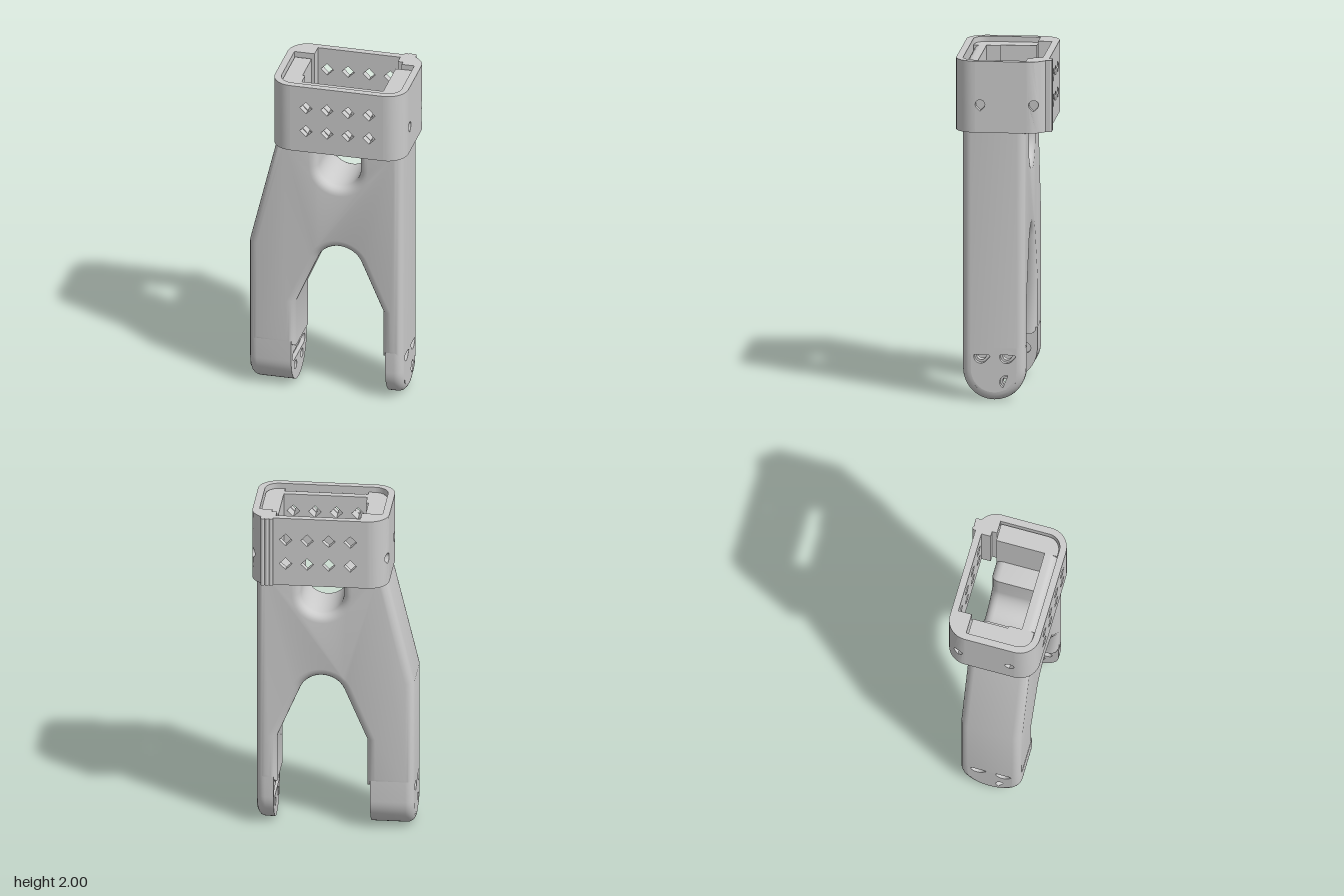
import * as THREE from 'three';
import { toCreasedNormals } from 'three/addons/utils/BufferGeometryUtils.js';

const solid = new THREE.MeshStandardMaterial({ color: 0xcccccc });
const thin = new THREE.MeshStandardMaterial({ color: 0xcccccc, side: THREE.DoubleSide });
const V = (x, y) => new THREE.Vector2(x, y);

function add(parent, name, geo, mat = solid) {
  const mesh = new THREE.Mesh(toCreasedNormals(geo, 0.6), mat);
  mesh.name = name;
  parent.add(mesh);
  return mesh;
}

// Outline helpers
function arc(cx, cy, r, a0, a1, n = 10) {
  return Array.from({ length: n + 1 }, (_, i) => {
    const a = THREE.MathUtils.degToRad(a0 + (a1 - a0) * i / n);
    return V(cx + r * Math.cos(a), cy + r * Math.sin(a));
  });
}
const circle = (x, y, r) => arc(x, y, r, 0, 345, 23);
// Round hole with one point, turned to the given angle
function teardrop(x, y, r, dir) {
  const a = THREE.MathUtils.degToRad(dir);
  return [...arc(x, y, r, dir + 45, dir + 315, 18), V(x + 1.35 * r * Math.cos(a), y + 1.35 * r * Math.sin(a))];
}
const diamond = (x, y, r) => [V(x + r, y), V(x, y + r), V(x - r, y), V(x, y - r)];
const rect = (x0, y0, x1, y1) => [V(x0, y0), V(x1, y0), V(x1, y1), V(x0, y1)];

function shapeOf(points, holes = []) {
  const s = new THREE.Shape(points);
  s.holes = holes.map(h => new THREE.Path(h));
  return s;
}
const plate = (points, holes, depth) =>
  new THREE.ExtrudeGeometry(shapeOf(points, holes), { depth, bevelEnabled: false });
// Plan outline (x, z) pulled down from yTop
const prism = (points, yTop, h) => plate(points, [], h).rotateX(Math.PI / 2).translate(0, yTop, 0);

// Wall through equal-length point rows, each at its own depth
function loft(rows, closed) {
  const n = rows[0].pts.length, pos = [], idx = [];
  rows.forEach(r => r.pts.forEach(p => pos.push(p.x, p.y, r.z)));
  for (let i = 0; i < rows.length - 1; i++)
    for (let j = 0; j < (closed ? n : n - 1); j++) {
      const k = (j + 1) % n, a = i * n + j, b = i * n + k, c = a + n, d = b + n;
      idx.push(a, c, b, c, d, b);
    }
  const g = new THREE.BufferGeometry();
  g.setAttribute('position', new THREE.Float32BufferAttribute(pos, 3));
  g.setIndex(idx);
  return g;
}

// Fork body: arms, web, arch and U-shaped gap, rounded front and back
function forkBody(parent) {
  const outline = [
    V(-0.47, 0.27), V(-0.195, 0.27), V(-0.195, 0.56),
    ...arc(0.065, 0.81, 0.14, 156, 24, 16),
    V(0.325, 0.56), V(0.325, 0.27), V(0.445, 0.27), V(0.445, 1.64), V(0.19, 1.64),
    ...arc(0.065, 1.465, 0.125, 0, -180, 20),
    V(-0.06, 1.64), V(-0.298, 1.64), V(-0.47, 0.93)];
  const geo = new THREE.ExtrudeGeometry(shapeOf(outline), {
    depth: 0.265, bevelThickness: 0.05, bevelSize: 0.05, bevelOffset: -0.05, bevelSegments: 5 });
  add(parent, 'forkBody', geo.translate(0, 0, -0.08));
}

// Leg end: round-bottomed, inner face at local z = 0, outer face at z = w
function legEnd(parent, name, xInner, w, side) {
  const leg = new THREE.Group();
  leg.name = name;
  const h = 0.1825, r = 0.05, sink = 0.04;
  const outline = inset => [V(h - inset, 0.31), ...arc(0, h, h - inset, 0, -180, 28), V(inset - h, 0.31)];
  const rows = [{ z: 0, pts: outline(0) }];
  for (let i = 0; i <= 5; i++) {
    const t = i / 5 * Math.PI / 2;
    rows.push({ z: w - r + r * Math.sin(t), pts: outline(r * (1 - Math.cos(t))) });
  }
  add(leg, 'legWall', loft(rows, false), thin);

  const centres = [-1, 1].flatMap(i => [-1, 1].map(j => V(i * 0.075, 0.185 + j * 0.075)));
  const small = centres.map(c => circle(c.x, c.y, 0.027));
  const large = centres.map(c => teardrop(c.x, c.y, 0.04, 0));
  const slot = [...arc(0.115, 0.185, 0.03, -90, 90, 8), ...arc(-0.115, 0.185, 0.03, 90, 270, 8)];
  add(leg, 'outerFace', new THREE.ShapeGeometry(shapeOf(outline(r), large)).translate(0, 0, w), thin);
  add(leg, 'innerFace', new THREE.ShapeGeometry(shapeOf(outline(0), [...small, slot])), thin);
  // Screw holes with their sunk seats
  centres.forEach((c, i) => {
    add(leg, 'screwHole', loft([{ z: 0, pts: small[i] }, { z: w - sink, pts: small[i] }], true), thin);
    add(leg, 'screwSeatWall', loft([{ z: w - sink, pts: large[i] }, { z: w, pts: large[i] }], true), thin);
    add(leg, 'screwSeat', new THREE.ShapeGeometry(shapeOf(large[i], [small[i]])).translate(0, 0, w - sink), thin);
  });
  // Pivot slot sunk in the inner face
  add(leg, 'slotWall', loft([{ z: 0, pts: slot }, { z: 0.025, pts: slot }], true), thin);
  add(leg, 'slotFloor', new THREE.ShapeGeometry(shapeOf(slot)).translate(0, 0, 0.025), thin);

  leg.rotation.y = side * Math.PI / 2;
  leg.position.set(xInner, 0, 0.0525);
  parent.add(leg);
}

// Collar around the top
function collar(parent) {
  const ring = new THREE.Group();
  ring.name = 'collar';
  const y0 = 1.58, y1 = 2, H = y1 - y0, d = 0.04, R = 0.12;
  const xa = -0.21, xb = 0.345;
  const windows = [1.715, 1.865].flatMap(y => [-0.115, 0.01, 0.135, 0.26].map(x => diamond(x, y, 0.037)));
  add(ring, 'frontPanel', plate(rect(xa, y0, xb, y1), windows, d).translate(0, 0, 0.24));
  add(ring, 'backPanel', plate(rect(xa, y0, xb, y1), windows, d).translate(0, 0, -0.26));

  for (const s of [1, -1]) {
    const cx = s > 0 ? xb : xa, outer = cx + s * R;
    const toSide = g => g.rotateY(-Math.PI / 2).translate(s > 0 ? outer : outer + d, 0, 0);
    // Flat side with a screw hole
    add(ring, 'sidePanel', toSide(plate(rect(-0.14, y0, 0.16, y1), [teardrop(0.13, 1.745, 0.028, -90)], d)));
    // Rear part of the side, bent along the corner
    const edge = [0, 1, 2, 3, 4].map(i => -0.22 + i * 0.02);
    const bent = toSide(plate([...edge.map(z => V(z, y0)), ...edge.slice().reverse().map(z => V(z, y1))],
      [teardrop(-0.18, 1.745, 0.028, -90)], d));
    const p = bent.attributes.position;
    for (let i = 0; i < p.count; i++) {
      const dz = Math.min(0, p.getZ(i) + 0.14);
      p.setX(i, p.getX(i) - s * (R - Math.sqrt(R * R - dz * dz)));
    }
    add(ring, 'bentSidePanel', bent);
    // Front corner
    const a0 = s > 0 ? 0 : 180;
    add(ring, 'frontCorner', prism([...arc(cx, 0.16, R, a0, 90), ...arc(cx, 0.16, R - d, 90, a0)], y1, H));
    // Rear corner with its inner block
    const block = s > 0
      ? [V(0.32, -0.26), V(0.32, -0.165), V(0.35, -0.165), V(0.35, -0.135), V(0.427, -0.135)]
      : [V(-0.17, -0.26), V(-0.17, -0.14), V(-0.292, -0.14)];
    const curve = s > 0 ? arc(cx, -0.14, R, -41.8, -90) : arc(cx, -0.14, R, 221.8, 270);
    add(ring, 'rearCorner', prism([...curve, ...block], y1, H));
  }

  // Grip ribs on the rear corner
  add(ring, 'ribBase', new THREE.BoxGeometry(0.073, H, 0.05).translate(0.369, 1.79, -0.243));
  for (const x of [0.345, 0.369, 0.393])
    add(ring, 'rib', new THREE.CylinderGeometry(0.0125, 0.0125, H, 16).translate(x, 1.79, -0.2675));
  parent.add(ring);
}

// Cup inside the collar, open to the back
function cup(parent) {
  const g = new THREE.Group();
  g.name = 'innerCup';
  const top = 1.97, h = 0.4;
  add(g, 'leftCheek', prism([V(0.315, 0.235), V(0.315, -0.13), V(0.42, -0.13), ...arc(0.34, 0.155, 0.08, 0, 90)], top, h));
  add(g, 'rightCheek', prism([V(-0.17, 0.235), ...arc(-0.205, 0.155, 0.08, 90, 180), V(-0.285, -0.13),
    V(-0.185, -0.13), V(-0.185, 0.08), V(-0.17, 0.08)], top, h));
  const holes = [1.715, 1.865].flatMap(y => [-0.115, 0.01, 0.135, 0.26].map(x => diamond(x, y, 0.037)));
  add(g, 'frontWall', plate(rect(-0.17, 1.58, 0.315, 1.93), holes, 0.075).translate(0, 0, 0.16));
  // Rounded rail on top of the front wall
  const rail = plate([V(0.16, 1.93), V(0.235, 1.93), ...arc(0.195, 1.93, 0.04, 0, 90, 6), V(0.16, 1.97)], [], 0.485);
  add(g, 'topRail', rail.rotateY(-Math.PI / 2).translate(0.315, 0, 0));
  parent.add(g);
}

export function createModel() {
  const model = new THREE.Group();
  model.name = 'forkBracket';
  forkBody(model);
  legEnd(model, 'rightLegEnd', -0.215, 0.255, -1);
  legEnd(model, 'leftLegEnd', 0.345, 0.1, 1);
  collar(model);
  cup(model);
  return model;
}
